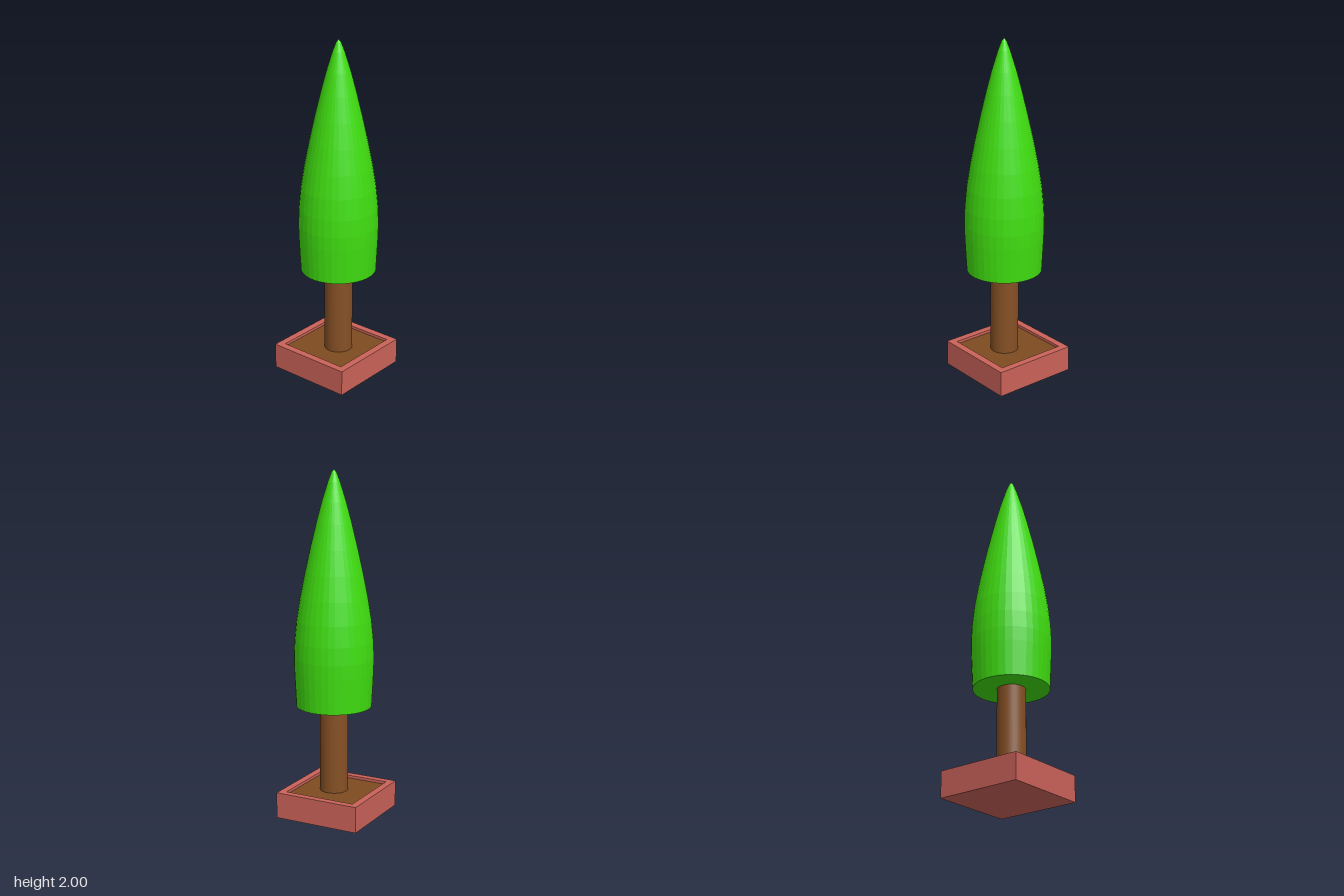
import * as THREE from 'three';

const mat = (name, color) => {
  const m = new THREE.MeshStandardMaterial({ color });
  m.name = name;
  return m;
};

export function createModel() {
  const brick = mat('brick red', 0xca6259);
  const bark = mat('bark brown', 0x865024);
  const earth = mat('soil brown', 0x7e4c20);
  const leaf = mat('leaf green', 0x40de10);

  const model = new THREE.Group();
  model.name = 'pottedTree';
  const add = (parent, name, geometry, material, x = 0, y = 0, z = 0) => {
    const mesh = new THREE.Mesh(geometry, material);
    mesh.name = name;
    mesh.position.set(x, y, z);
    parent.add(mesh);
    return mesh;
  };

  // Square planter: raised rim around a floor
  const outer = 0.257, inner = 0.215, height = 0.152, soilTop = 0.135;
  const square = (Type, r) => new Type([[-r, -r], [r, -r], [r, r], [-r, r]].map(([x, y]) => new THREE.Vector2(x, y)));
  const rimShape = square(THREE.Shape, outer);
  rimShape.holes.push(square(THREE.Path, inner));
  const rim = new THREE.ExtrudeGeometry(rimShape, { depth: height, bevelEnabled: false });
  rim.rotateX(-Math.PI / 2);
  add(model, 'planterRim', rim, brick);
  add(model, 'planterFloor', new THREE.BoxGeometry(inner * 2, 0.02, inner * 2), brick, 0, 0.01, 0);
  add(model, 'soil', new THREE.BoxGeometry(inner * 2, soilTop - 0.02, inner * 2), earth, 0, (soilTop + 0.02) / 2, 0);

  // Tree, slightly off the planter's centre
  const tree = new THREE.Group();
  tree.name = 'tree';
  tree.position.set(-0.005, 0, 0.021);
  model.add(tree);

  const base = 0.645;
  add(tree, 'trunk', new THREE.CylinderGeometry(0.082, 0.082, base - soilTop + 0.02, 32), bark, 0, (base + soilTop) / 2, 0);

  // Faceted foliage with a closed flat underside
  const profile = [
    [0, base], [0.218, base], [0.228, 0.85], [0.23, 0.93], [0.226, 1.03], [0.214, 1.15], [0.193, 1.28],
    [0.165, 1.42], [0.134, 1.56], [0.1, 1.7], [0.068, 1.82], [0.034, 1.93], [0.015, 1.98], [0, 2],
  ].map(([r, y]) => new THREE.Vector2(r, y));
  const foliage = new THREE.LatheGeometry(profile, 36).toNonIndexed();
  foliage.computeVertexNormals();
  add(tree, 'foliage', foliage, leaf);

  return model;
}
